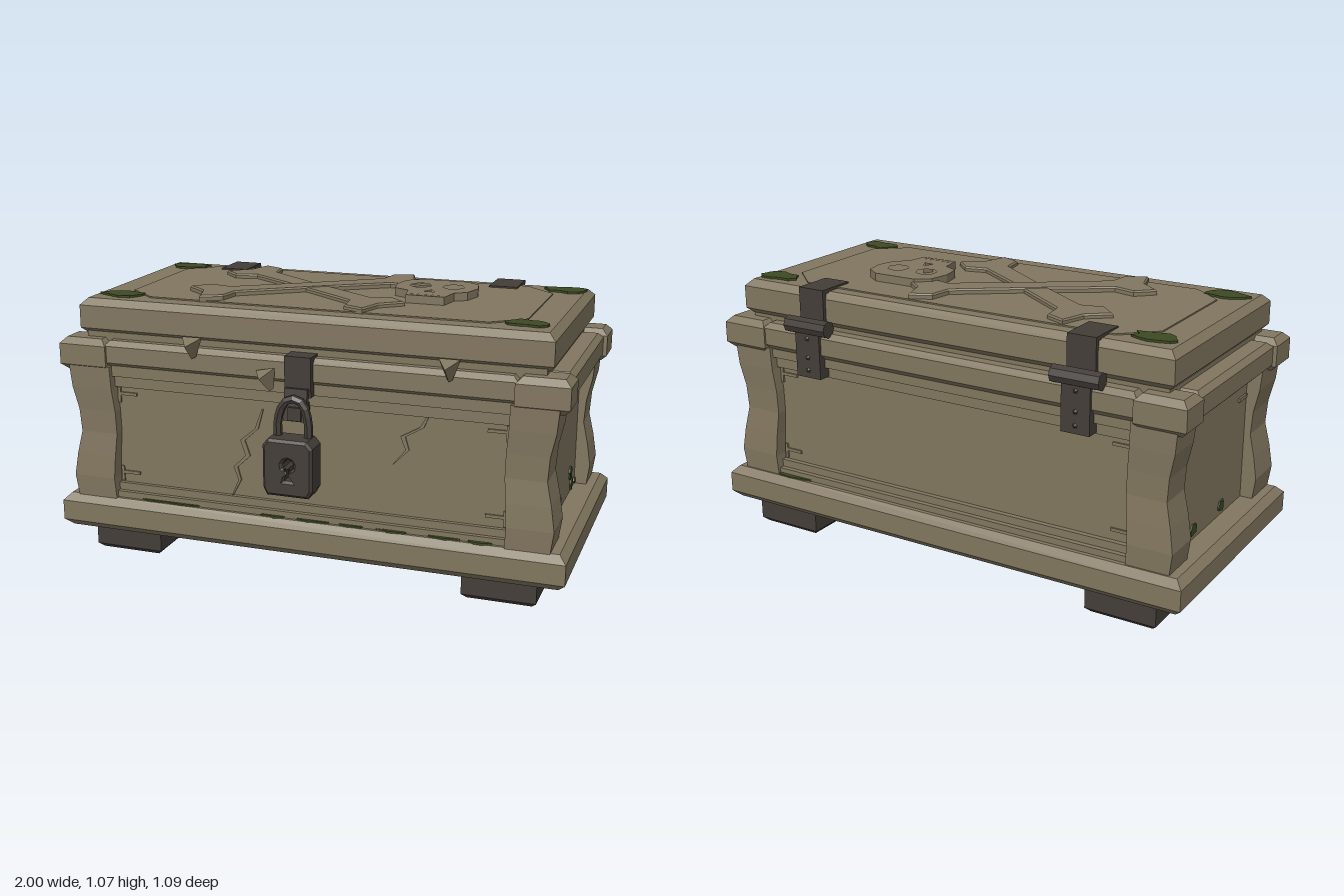
import * as THREE from 'three';

const flat = (name, color) => {
  const m = new THREE.MeshStandardMaterial({ color, flatShading: true });
  m.name = name;
  return m;
};

export function createModel() {
  const stone = flat('stone', 0x81765f);
  const iron = flat('darkIron', 0x433d38);
  const moss = flat('moss', 0x3c4a22);
  const chest = new THREE.Group();
  chest.name = 'chest';

  let seed = 7;
  const rnd = () => (seed = (seed * 16807) % 2147483647) / 2147483647;

  const add = (name, geo, mat, parent = chest) => {
    const m = new THREE.Mesh(geo, mat);
    m.name = name;
    parent.add(m);
    return m;
  };
  const shapeOf = pts => new THREE.Shape(pts.map(p => new THREE.Vector2(p[0], p[1])));

  // block with chamfered edges, given by its extents
  const block = (name, x0, x1, y0, y1, z0, z1, b = 0.02, mat = stone) => {
    const s = shapeOf([[x0 + b, -z1 + b], [x1 - b, -z1 + b], [x1 - b, -z0 - b], [x0 + b, -z0 - b]]);
    const g = new THREE.ExtrudeGeometry(s, {
      depth: y1 - y0 - 2 * b, bevelEnabled: b > 0, bevelSize: b, bevelThickness: b, bevelSegments: 1,
    });
    g.rotateX(-Math.PI / 2).translate(0, y0 + b, 0);
    return add(name, g, mat);
  };
  const box = (name, x0, x1, y0, y1, z0, z1, mat = stone) =>
    add(name, new THREE.BoxGeometry(x1 - x0, y1 - y0, z1 - z0)
      .translate((x0 + x1) / 2, (y0 + y1) / 2, (z0 + z1) / 2), mat);

  // flat relief lying on a horizontal surface, outline as (x, z)
  const relief = (name, pts, y, h, mat = stone, holes = [], bevel = 0) => {
    const s = shapeOf(pts.map(p => [p[0], -p[1]]));
    holes.forEach(o => s.holes.push(new THREE.Path(o.map(p => new THREE.Vector2(p[0], -p[1])))));
    const g = new THREE.ExtrudeGeometry(s, {
      depth: h - bevel, bevelEnabled: bevel > 0, bevelSize: bevel, bevelOffset: -bevel,
      bevelThickness: bevel, bevelSegments: 1,
    });
    return add(name, g.rotateX(-Math.PI / 2).translate(0, y, 0), mat);
  };

  // base slab and feet
  block('baseSlab', -1, 1, 0.115, 0.25, -0.54, 0.44, 0.028);
  for (const s of [-1, 1]) for (const [z0, z1] of [[0.14, 0.375], [-0.49, -0.235]]) {
    const [a, b] = s > 0 ? [0.61, 0.89] : [-0.89, -0.61];
    block('foot', a, b, 0.012, 0.13, z0, z1, 0.018, iron);
    add('footTip', new THREE.ConeGeometry(0.13, 0.02, 4).rotateY(Math.PI / 4).rotateX(Math.PI)
      .translate((a + b) / 2, 0.01, (z0 + z1) / 2), iron);
  }

  // recessed body, with stepped rails along the long panels
  box('body', -0.89, 0.89, 0.24, 0.905, -0.455, 0.365);
  for (const [z0, z1, out] of [[0.36, 0.4, 1], [-0.495, -0.45, -1]]) {
    box('upperRail', -0.78, 0.78, 0.74, 0.79, z0, z1);
    box('lowerRail', -0.78, 0.78, 0.24, 0.275, z0, z1);
    const zi = out > 0 ? [0.36, 0.382] : [-0.475, -0.45];
    box('upperStep', -0.78, 0.78, 0.695, 0.74, ...zi);
    box('lowerStep', -0.78, 0.78, 0.275, 0.305, ...zi);
  }

  // waisted corner posts
  const wave = [0, 0.012, -0.002, -0.022, -0.016, 0.004, 0.012];
  for (const sx of [-1, 1]) for (const [z0, z1, sz] of [[0.25, 0.415, 1], [-0.505, -0.355, -1]]) {
    const w = 0.165, d = z1 - z0, h = 0.54;
    const g = new THREE.BoxGeometry(w, h, d, 1, 6, 1);
    const p = g.attributes.position;
    for (let i = 0; i < p.count; i++) {
      const k = wave[Math.round((p.getY(i) / h + 0.5) * 6)];
      if (p.getX(i) * sx > 0) p.setX(i, p.getX(i) + sx * k);
      else p.setX(i, p.getX(i) + sx * k * 0.4);
      if (p.getZ(i) * sz > 0) p.setZ(i, p.getZ(i) + sz * k * 0.4);
    }
    add('cornerPost', g.translate(sx * 0.855, 0.51, (z0 + z1) / 2), stone);
  }

  // rim boards and corner blocks
  block('frontRim', -0.8, 0.8, 0.775, 0.88, 0.3, 0.412);
  block('backRim', -0.8, 0.8, 0.775, 0.88, -0.515, -0.4);
  for (const s of [-1, 1]) {
    const [a, b] = s > 0 ? [0.8, 0.97] : [-0.97, -0.8];
    block('sideRim', a, b, 0.765, 0.875, -0.385, 0.285);
    const [c, d] = s > 0 ? [0.79, 0.985] : [-0.985, -0.79];
    block('rimCorner', c, d, 0.755, 0.883, 0.285, 0.422, 0.024);
    block('rimCorner', c, d, 0.755, 0.883, -0.522, -0.388, 0.024);
  }

  // lid with a raised chamfered field
  block('lid', -0.915, 0.915, 0.89, 1.03, -0.475, 0.375, 0.026);
  relief('lidField', [[-0.78, -0.29], [-0.66, -0.4], [0.66, -0.4], [0.78, -0.29], [0.78, 0.18],
    [0.66, 0.28], [-0.66, 0.28], [-0.78, 0.18]], 1.027, 0.008);

  // crossed bones: one half-outline mirrored to both ends
  const half = [[0, 0.045], [0.31, 0.05], [0.37, 0.115], [0.46, 0.1], [0.43, 0],
    [0.46, -0.1], [0.37, -0.115], [0.31, -0.05], [0, -0.045]];
  const bone = [...half, ...half.slice(1, -1).map(([x, z]) => [-x, -z])];
  [[0.6, 1.03], [-0.6, 1.027]].forEach(([t, y]) => {
    const m = relief('crossedBone', bone, 0, 0.025, stone, [], 0.006);
    m.rotation.y = t;
    m.position.set(-0.13, y, -0.055);
  });

  // skull relief with eye and nose openings
  const hex = (x, z, r) => Array.from({ length: 7 }, (_, i) =>
    [x + r * Math.cos(i * 0.898), z + r * Math.sin(i * 0.898)]);
  relief('skull', [[0.2, -0.13], [0.215, -0.21], [0.27, -0.25], [0.45, -0.25], [0.505, -0.21],
    [0.522, -0.13], [0.5, -0.05], [0.455, -0.02], [0.44, 0.065], [0.29, 0.065], [0.275, -0.02],
    [0.215, -0.05]], 1.03, 0.036, stone,
  [hex(0.295, -0.13, 0.042), hex(0.425, -0.133, 0.042), [[0.36, -0.055], [0.38, -0.018], [0.34, -0.018]],
    ...[0.31, 0.335, 0.365, 0.39, 0.415].map(x => [[x, 0.035], [x + 0.006, 0.06], [x - 0.006, 0.06]])]);

  // hinges: knuckle, lid strap, back strap and rivets
  for (const x of [-0.578, 0.574]) {
    add('hingeKnuckle', new THREE.CylinderGeometry(0.033, 0.033, 0.19, 8).rotateZ(Math.PI / 2)
      .translate(x, 0.9, -0.513), iron);
    box('hingeTopStrap', x - 0.056, x + 0.056, 1.025, 1.041, -0.485, -0.33, iron);
    box('hingeLidStrap', x - 0.056, x + 0.056, 0.9, 1.041, -0.49, -0.47, iron);
    box('hingeBackStrap', x - 0.056, x + 0.056, 0.7, 0.89, -0.526, -0.45, iron);
    for (const y of [0.855, 0.78, 0.73]) {
      add('rivet', new THREE.ConeGeometry(0.011, 0.012, 5).rotateX(-Math.PI / 2)
        .translate(x, y, -0.531), iron);
    }
  }

  // hasp over the front rim
  box('haspTop', -0.052, 0.05, 0.875, 0.89, 0.36, 0.43, iron);
  box('haspStrap', -0.052, 0.05, 0.74, 0.89, 0.4, 0.436, iron);
  const flap = box('haspFlap', -0.045, 0.043, -0.12, 0, -0.01, 0.01, iron);
  flap.position.set(0, 0.775, 0.445);
  flap.rotation.x = -0.12;
  box('staple', -0.025, 0.025, 0.66, 0.71, 0.38, 0.475, iron);

  // padlock with a keyhole opening and a bent shackle
  const lock = shapeOf([[-0.085, 0.39], [0.075, 0.39], [0.092, 0.42], [0.092, 0.58], [0.07, 0.605],
    [-0.08, 0.605], [-0.1, 0.58], [-0.1, 0.42]]);
  const key = new THREE.Path();
  key.moveTo(-0.018, 0.45);
  key.lineTo(0.014, 0.45);
  key.lineTo(0.006, 0.49);
  key.absarc(-0.002, 0.51, 0.022, -1.2, Math.PI + 1.2, false);
  key.lineTo(-0.01, 0.49);
  lock.holes.push(key);
  add('padlock', new THREE.ExtrudeGeometry(lock, {
    depth: 0.084, bevelSize: 0.01, bevelOffset: -0.01, bevelThickness: 0.01, bevelSegments: 1, curveSegments: 4,
  }).translate(0, 0, 0.45), iron);
  const bow = new THREE.CatmullRomCurve3([[-0.062, 0.59], [-0.06, 0.67], [-0.035, 0.73], [0, 0.745],
    [0.033, 0.73], [0.054, 0.67], [0.056, 0.59]].map(([x, y]) => new THREE.Vector3(x, y, 0.478)));
  add('shackle', new THREE.TubeGeometry(bow, 12, 0.016, 6), iron);

  // stone chips hanging off the front rim
  for (const [x, y, t] of [[-0.42, 0.885, 0], [-0.12, 0.79, 0.25], [0.56, 0.885, 0]]) {
    const chip = add('stoneChip', new THREE.CylinderGeometry(0.046, 0.012, 0.075, 3, 1), stone);
    chip.position.set(x, y, 0.437);
    chip.rotation.set(0.35, 0, t);
  }

  // shallow L marks in the panel corners
  for (const s of [-1, 1]) for (const y of [0.66, 0.34]) {
    for (const [z0, z1] of [[0.363, 0.372], [-0.462, -0.453]]) {
      box('cornerMark', s * 0.73 - 0.04, s * 0.73 + 0.04, y, y + 0.012, z0, z1);
      box('cornerMark', s * 0.764 - 0.006, s * 0.764 + 0.006, y - 0.03, y + 0.03, z0, z1);
    }
  }
  for (const s of [-1, 1]) for (const z of [0.205, -0.305]) {
    box('sideMark', s * 0.891 - 0.006, s * 0.891 + 0.006, 0.658, 0.673, z - 0.036, z + 0.036);
  }

  // cracks: tapering zigzag slivers on the front panel
  const crack = (pts, w) => {
    const right = pts.map(([x, y], i) => [x + w * Math.sin(Math.PI * (i + 0.3) / pts.length), y]);
    add('crack', new THREE.ExtrudeGeometry(shapeOf([...right, ...pts.slice().reverse()]),
      { depth: 0.008, bevelEnabled: false }).translate(0, 0, 0.363), stone);
  };
  crack([[-0.31, 0.28], [-0.27, 0.37], [-0.29, 0.42], [-0.24, 0.47], [-0.26, 0.53], [-0.2, 0.58], [-0.17, 0.66]], 0.02);
  crack([[0.34, 0.5], [0.39, 0.56], [0.37, 0.61], [0.44, 0.65], [0.47, 0.7]], 0.018);

  // moss patches: thin irregular blobs on ledges and side panels
  const mossPatch = (x, y, z, rx, rz, side = 0) => {
    const n = 13;
    const pts = Array.from({ length: n }, (_, i) => {
      const r = 0.7 + 0.45 * rnd(), a = (i / n) * Math.PI * 2;
      return [rx * r * Math.cos(a), rz * r * Math.sin(a)];
    });
    const m = relief('mossPatch', pts, 0, 0.008, moss);
    m.position.set(x, y, z);
    m.rotation.z = -side * Math.PI / 2;
  };
  for (const [x, z] of [[-0.79, -0.36], [0.82, -0.375], [-0.79, 0.26], [0.79, 0.25]]) {
    mossPatch(x, 1.03, z, 0.085, 0.05);
  }
  for (const [x, rx] of [[-0.62, 0.06], [-0.5, 0.08], [-0.12, 0.06], [0.05, 0.07], [0.2, 0.06], [0.36, 0.07], [0.55, 0.07], [0.68, 0.05]]) {
    mossPatch(x, 0.248, 0.395, rx, 0.018);
  }
  mossPatch(0.7, 0.248, -0.495, 0.09, 0.016);
  for (const [z, y, r] of [[0.155, 0.283, 0.02], [-0.005, 0.287, 0.028], [-0.235, 0.33, 0.027], [-0.265, 0.28, 0.025], [-0.34, 0.268, 0.014]]) {
    mossPatch(0.888, y, z, r, r, 1);
  }
  mossPatch(-0.888, 0.285, 0.05, 0.025, 0.025, -1);
  mossPatch(-0.888, 0.29, -0.2, 0.025, 0.03, -1);

  return chest;
}
